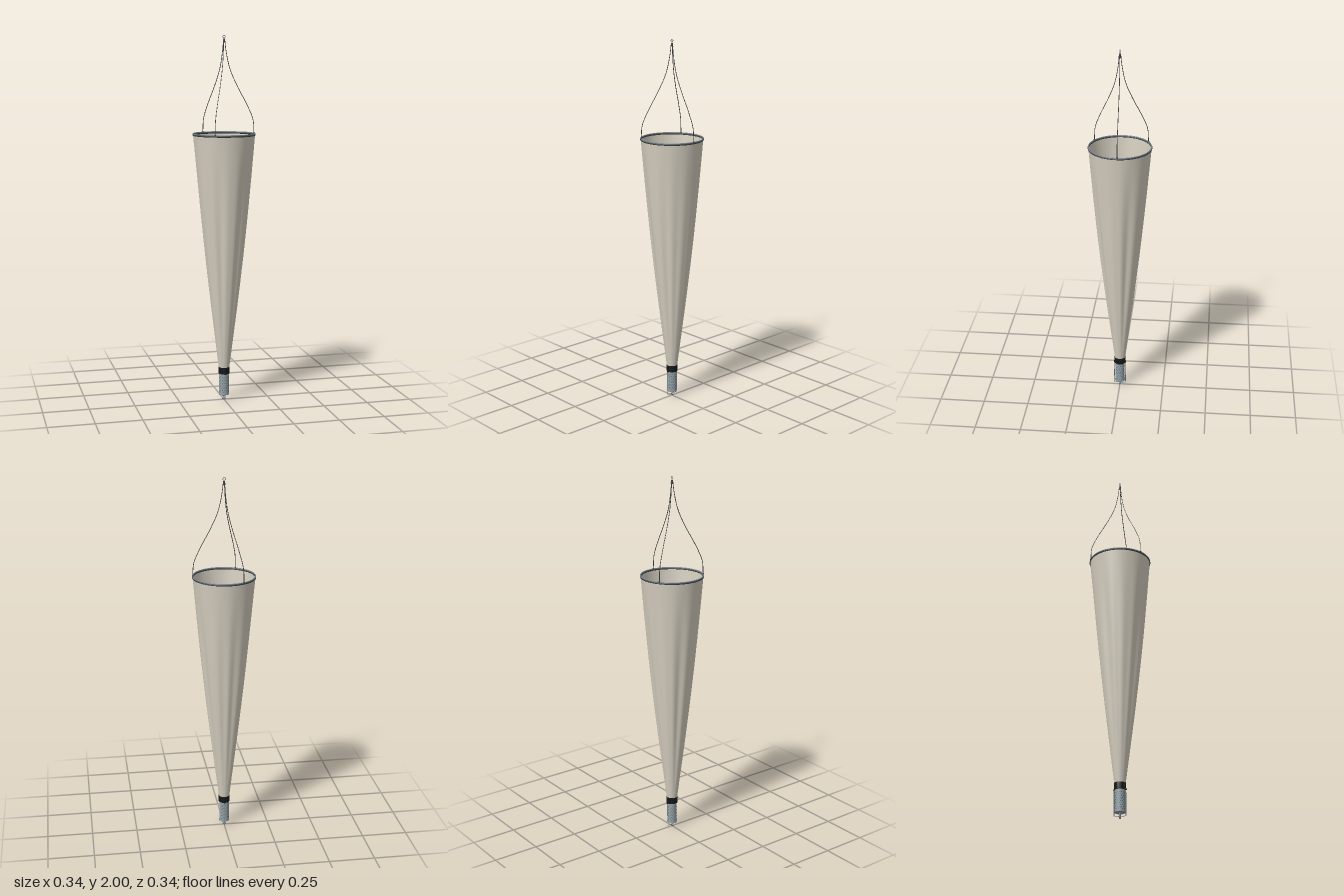
import * as THREE from 'three';
import { mergeVertices } from 'three/addons/utils/BufferGeometryUtils.js';

const mat = (name, color, side = THREE.FrontSide) => {
  const m = new THREE.MeshStandardMaterial({ color, side });
  m.name = name;
  return m;
};
const V = (x, y, z) => new THREE.Vector3(x, y, z);

export function createModel() {
  const cloth = mat('net cloth', 0xd6cfc0, THREE.DoubleSide);
  const steel = mat('steel', 0x75828c);
  const cup = mat('cup grey', 0x95a3a9, THREE.DoubleSide);
  const black = mat('black rubber', 0x16181a);
  const rope = mat('dark cord', 0x3c3e40);

  const model = new THREE.Group();
  const add = (name, geometry, material, x = 0, y = 0, z = 0, parent = model) => {
    const m = new THREE.Mesh(geometry, material);
    m.name = name;
    m.position.set(x, y, z);
    parent.add(m);
    return m;
  };
  const ring = (name, r, tube, y, material) => {
    add(name, new THREE.TorusGeometry(r, tube, 8, 64), material, 0, y).rotation.x = Math.PI / 2;
  };

  // Long tapering net with soft irregular folds that fade out at both ends
  const top = 1.472, bottom = 0.165, profile = [];
  for (let i = 0; i <= 60; i++) {
    const t = i / 60;
    profile.push(new THREE.Vector2(0.027 + 0.14 * t + 0.007 * Math.sin(Math.PI * t), bottom + (top - bottom) * t));
  }
  let net = new THREE.LatheGeometry(profile, 144);
  const p = net.attributes.position;
  for (let i = 0; i < p.count; i++) {
    const x = p.getX(i), y = p.getY(i), z = p.getZ(i);
    const a = Math.atan2(z, x), t = (y - bottom) / (top - bottom);
    const wave = 0.5 * Math.sin(5 * a + 0.6) + 0.35 * Math.sin(8 * a + 2.1) + 0.3 * Math.sin(13 * a + 4);
    const k = 1 + 0.075 * wave * Math.sin(Math.PI * t) * (1 - 0.5 * t);
    p.setXYZ(i, x * k, y, z * k);
  }
  net.deleteAttribute('uv');
  net.deleteAttribute('normal');
  net = mergeVertices(net, 1e-5);
  net.computeVertexNormals();
  add('net', net, cloth);

  // Mouth hoop and its binding
  ring('mouthHoop', 0.1665, 0.0035, 1.475, steel);
  ring('hoopBinding', 0.1665, 0.0036, 1.469, rope);

  // Three bridle cords gathered at the tow ring
  const path = [[0.167, 1.475], [0.161, 1.55], [0.127, 1.63], [0.073, 1.73], [0.033, 1.82], [0.012, 1.91], [0.004, 1.975]];
  for (let i = 0; i < 3; i++) {
    const a = i * Math.PI * 2 / 3, c = Math.cos(a), s = Math.sin(a);
    const curve = new THREE.CatmullRomCurve3(path.map(([r, y]) => V(r * c, y, r * s)));
    add('bridleCord', new THREE.TubeGeometry(curve, 48, 0.0018, 6), rope);
    add('bridleKnot', new THREE.SphereGeometry(0.005, 10, 8), rope, 0.167 * c, 1.477, 0.167 * s);
  }
  add('towRing', new THREE.TorusGeometry(0.007, 0.002, 8, 24), steel, 0, 1.991);
  add('cordWhipping', new THREE.CylinderGeometry(0.005, 0.007, 0.018, 12), rope, 0, 1.97);

  // Ribbed clamp joining net and collecting cup
  const band = [[0.0275, 0.15], [0.03, 0.15], [0.03, 0.187], [0.0275, 0.187], [0.0275, 0.15]];
  add('clampBand', new THREE.LatheGeometry(band.map(([r, y]) => new THREE.Vector2(r, y)), 36), black);
  for (let i = 0; i < 20; i++) {
    const a = i * Math.PI / 10;
    const rib = add('clampRib', new THREE.BoxGeometry(0.004, 0.035, 0.004), black, 0.0295 * Math.cos(a), 0.1685, 0.0295 * Math.sin(a));
    rib.rotation.y = -a;
  }

  // Collecting cup: wall, floor and rims
  add('cupWall', new THREE.CylinderGeometry(0.027, 0.027, 0.125, 40, 1, true), cup, 0, 0.0925);
  add('cupFloor', new THREE.CylinderGeometry(0.027, 0.027, 0.006, 40), cup, 0, 0.033);
  ring('cupBottomRim', 0.027, 0.002, 0.032, steel);
  ring('cupTopRim', 0.028, 0.0025, 0.152, black);
  add('floorRing', new THREE.TorusGeometry(0.01, 0.001, 6, 32), steel, 0, 0.0365).rotation.x = Math.PI / 2;

  // Rows of drain holes around the cup
  const hole = new THREE.CircleGeometry(0.0018, 8);
  for (let row = 0; row < 10; row++) {
    for (let i = 0; i < 16; i++) {
      const a = (i + (row % 2) / 2) * Math.PI / 8;
      add('drainHole', hole, rope, 0.0274 * Math.sin(a), 0.048 + row * 0.0095, 0.0274 * Math.cos(a)).rotation.y = a;
    }
  }

  // Wire bail running down both sides and under the cup
  const bail = new THREE.CurvePath();
  const corners = [V(0, 0.153, 0.032), V(0, 0.012, 0.032), V(0, 0.012, -0.032), V(0, 0.153, -0.032)];
  for (let i = 0; i < 3; i++) bail.add(new THREE.LineCurve3(corners[i], corners[i + 1]));
  add('bail', new THREE.TubeGeometry(bail, 90, 0.0015, 6), steel);
  for (const s of [-1, 1]) add('bailLug', new THREE.BoxGeometry(0.008, 0.008, 0.009), black, 0, 0.152, s * 0.031);

  // Drain stem and tap under the cup
  add('drainStem', new THREE.CylinderGeometry(0.004, 0.004, 0.03, 16), steel, 0, 0.017);
  const tap = add('drainTap', new THREE.CylinderGeometry(0.002, 0.002, 0.024, 10), rope, 0, 0.005);
  tap.rotation.z = Math.PI / 2;
  add('drainTip', new THREE.CylinderGeometry(0.003, 0.003, 0.004, 12), rope, 0, 0.002);

  return model;
}
